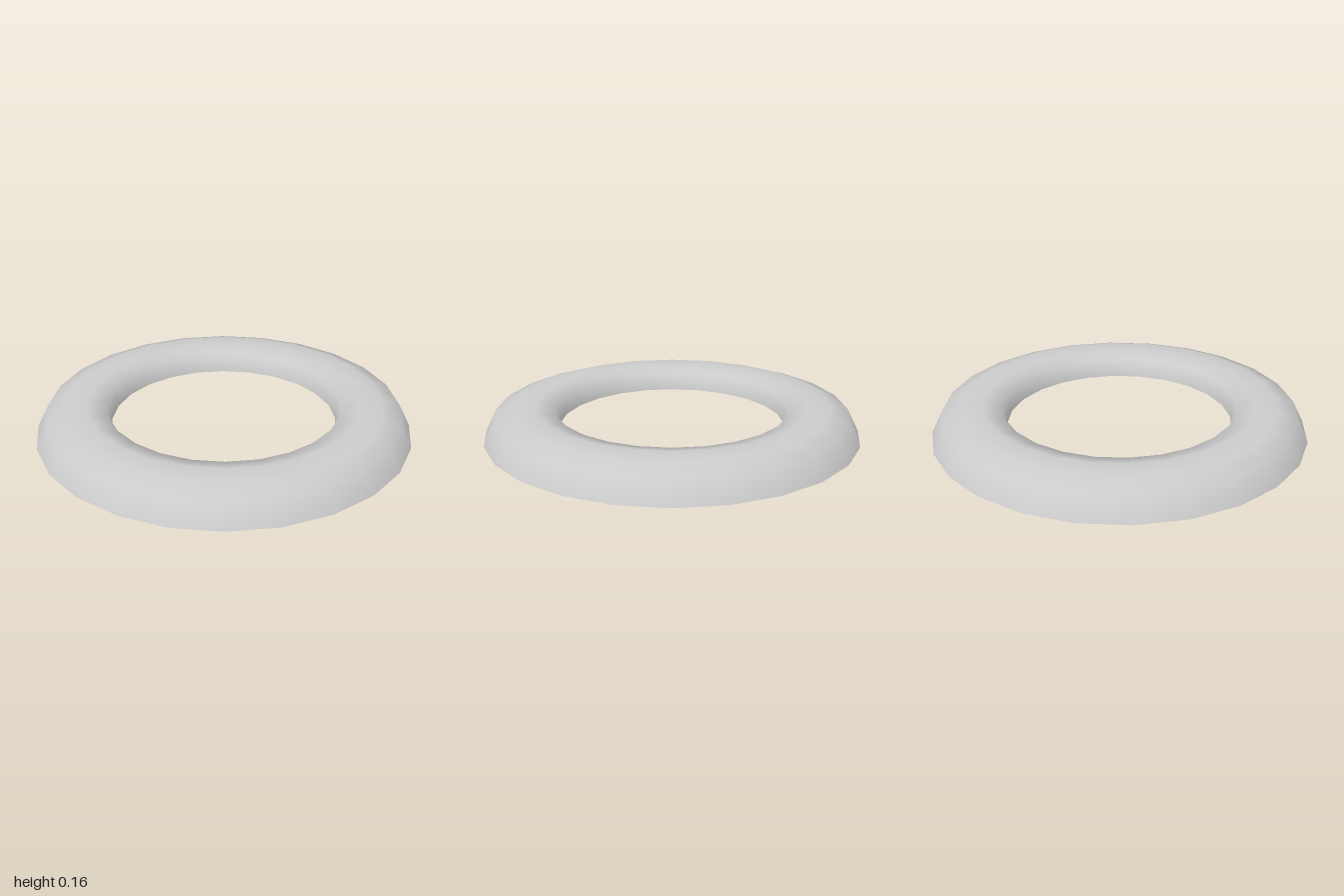
import * as THREE from 'three';

export function createModel() {
  const group = new THREE.Group();
  group.name = 'ringModel';

  // Open cross-section (radius, height): outer rim, over the top, down the inner wall
  const profile = [
    [1, 0], [0.94, 0.12], [0.84, 0.155], [0.72, 0.16], [0.62, 0.138], [0.6, 0.04],
  ].map(([r, y]) => new THREE.Vector2(r, y));

  // Hollow shell, open underneath
  const ring = new THREE.Mesh(
    new THREE.LatheGeometry(profile, 24),
    new THREE.MeshStandardMaterial({ color: 0xcccccc, side: THREE.DoubleSide }),
  );
  ring.name = 'ringShell';
  group.add(ring);
  return group;
}
